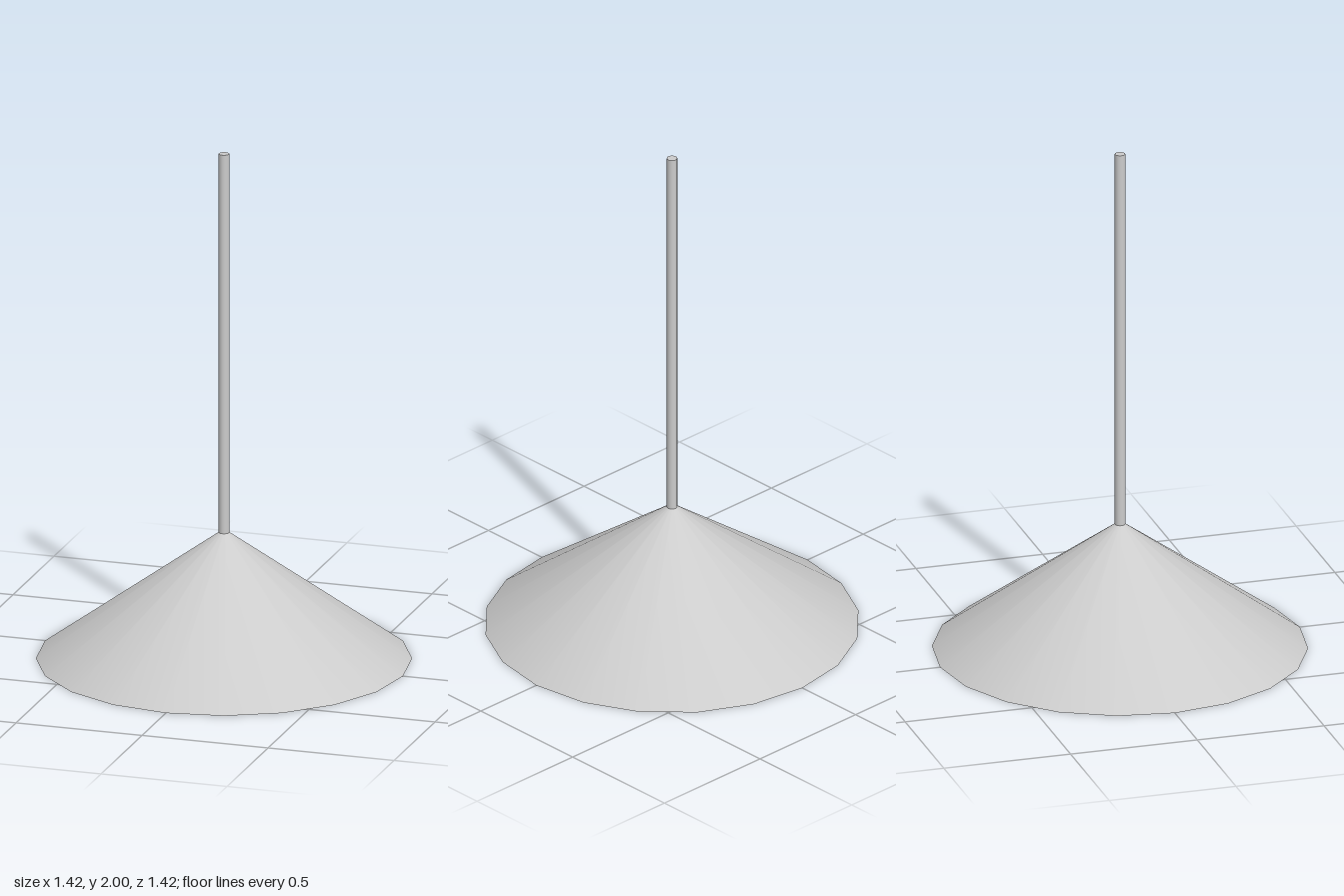
import * as THREE from 'three';

export function createModel() {
  const lamp = new THREE.Group();
  lamp.name = 'pendantLamp';
  const smooth = new THREE.MeshStandardMaterial({ color: 0xcccccc });
  const faceted = new THREE.MeshStandardMaterial({ color: 0xcccccc, flatShading: true, side: THREE.BackSide });

  const add = (name, geometry, y, material = smooth) => {
    const mesh = new THREE.Mesh(geometry, material);
    mesh.name = name;
    mesh.position.y = y;
    lamp.add(mesh);
  };

  // Frustum centred on the axis between two heights
  const frustum = (name, rTop, rBottom, y0, y1, sides, open, material) =>
    add(name, new THREE.CylinderGeometry(rTop, rBottom, y1 - y0, sides, 1, open), (y0 + y1) / 2, material);

  // Hanging rod
  frustum('rod', 0.02, 0.02, 0.49, 2, 20, false);

  // Conical shade: smooth outside, faceted lining that ends in a flat ceiling
  frustum('shadeOuter', 0.02, 0.71, 0, 0.5, 20, true);
  frustum('shadeLining', 0.14, 0.709, 0, 0.385, 20, true, faceted);
  const ceiling = new THREE.CircleGeometry(0.14, 20);
  ceiling.rotateX(Math.PI / 2);
  add('shadeCeiling', ceiling, 0.385);

  // Bulb and its neck
  frustum('bulbNeck', 0.04, 0.04, 0.29, 0.385, 20, false);
  add('bulb', new THREE.SphereGeometry(0.12, 32, 20), 0.2);

  return lamp;
}
